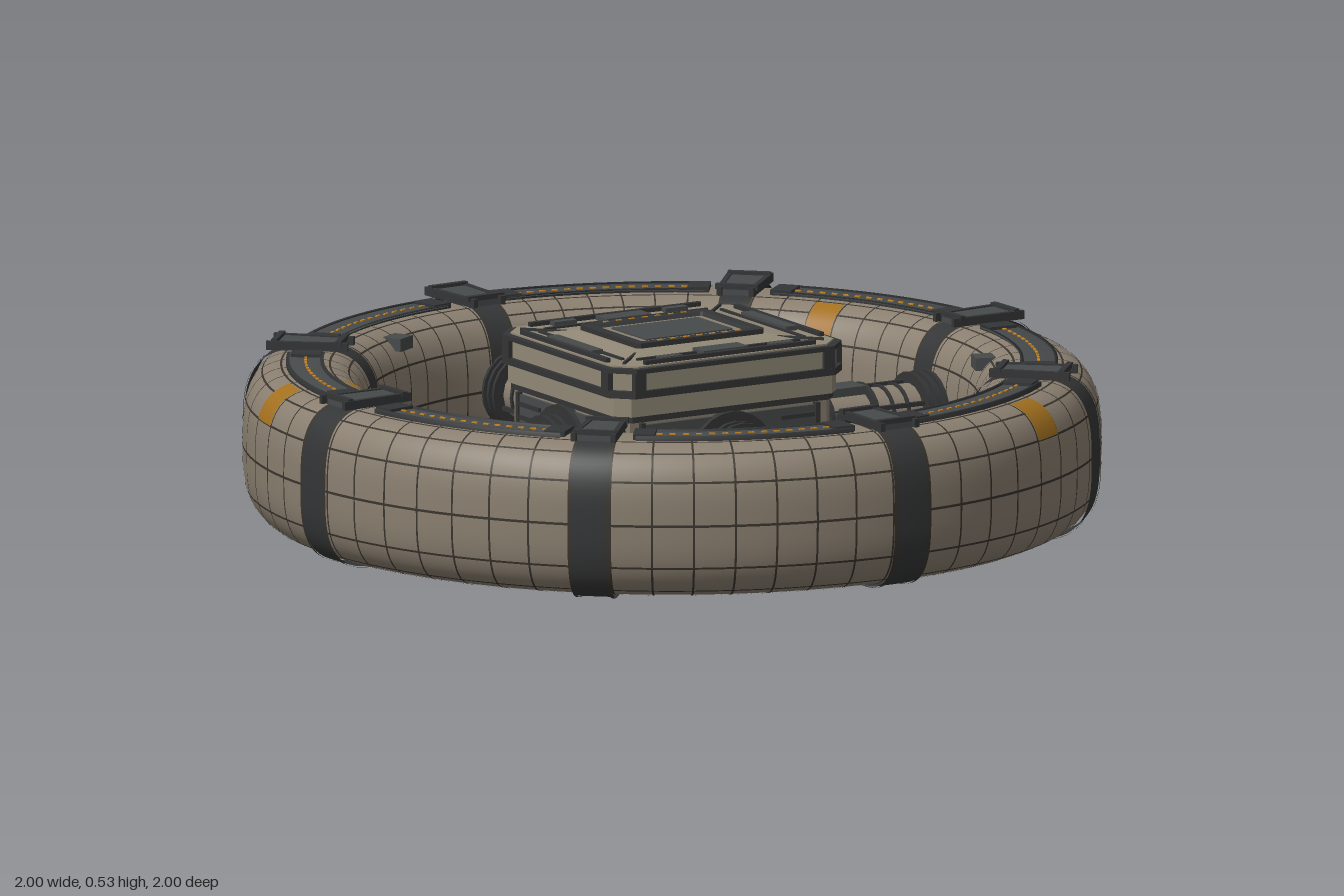
import * as THREE from 'three';
import { mergeGeometries } from 'three/addons/utils/BufferGeometryUtils.js';

const mat = (name, color, side = THREE.FrontSide) => {
  const m = new THREE.MeshStandardMaterial({ color, side });
  m.name = name;
  return m;
};

const PANELS = 64, STEP = (Math.PI * 2) / PANELS, START = 0.045; // one panel per step
const RING_R = 0.845, RING_Y = 0.262;

// Point on the squarish tube section; t = 0 is outermost, PI/2 is the top
function sectionPoint(t, off = 0) {
  const p = (v) => Math.sign(v) * Math.pow(Math.abs(v), 2 / 3);
  return new THREE.Vector2(RING_R + (0.145 + off) * p(Math.cos(t)), RING_Y + (0.182 + off) * p(Math.sin(t)));
}

// Part of the ring's skin between two section angles and two ring angles
function skin(t0, t1, off, a0, a1, n = 24) {
  const pts = [];
  for (let i = 0; i <= n; i++) pts.push(sectionPoint(t0 + ((t1 - t0) * i) / n, off));
  const segs = Math.max(1, Math.round((a1 - a0) / (STEP / 2)));
  return new THREE.LatheGeometry(pts, segs, a0, a1 - a0);
}

// Flat-faced solid through chamfered rectangles [halfX, halfZ, chamfer, y]
function loft(sections) {
  const rings = sections.map(([x, z, c, y]) => [
    [-x + c, z], [x - c, z], [x, z - c], [x, -z + c], [x - c, -z], [-x + c, -z], [-x, -z + c], [-x, z - c],
  ].map(([px, pz]) => [px, y, pz]));
  const pos = [];
  const tri = (a, b, c) => pos.push(...a, ...b, ...c);
  const last = rings.length - 1;
  for (let i = 0; i < 8; i++) {
    const j = (i + 1) % 8;
    for (let k = 0; k < last; k++) {
      tri(rings[k][i], rings[k][j], rings[k + 1][j]);
      tri(rings[k][i], rings[k + 1][j], rings[k + 1][i]);
    }
    tri([0, sections[0][3], 0], rings[0][j], rings[0][i]);
    tri([0, sections[last][3], 0], rings[last][i], rings[last][j]);
  }
  const g = new THREE.BufferGeometry();
  g.setAttribute('position', new THREE.Float32BufferAttribute(pos, 3));
  g.computeVertexNormals();
  return g;
}

const box = (w, h, d, x, y, z) => new THREE.BoxGeometry(w, h, d).translate(x, y, z);
// Box on the ring: w runs along the ring, d runs outward
const ringBox = (w, h, d, r, y, a) => box(w, h, d, 0, y, r).rotateY(a);
const drum = (r, len, z, sides = 20) => new THREE.CylinderGeometry(r, r, len, sides).rotateX(Math.PI / 2).translate(0, 0, z);

export function createModel() {
  const hull = mat('warm grey hull', 0x8a7f70);
  const trim = mat('pale trim', 0x918876);
  const dark = mat('charcoal', 0x343536, THREE.DoubleSide);
  const grey = mat('slate panel', 0x474a4b);
  const seam = mat('seam brown', 0x39342d, THREE.DoubleSide);
  const amber = mat('amber paint', 0xa3701f, THREE.DoubleSide);
  const lamp = mat('lamp orange', 0xc88420);

  const model = new THREE.Group();
  const add = (name, geo, material, parent = model) => {
    const m = new THREE.Mesh(Array.isArray(geo) ? mergeGeometries(geo) : geo, material);
    m.name = name;
    parent.add(m);
    return m;
  };
  const PI = Math.PI, TAU = PI * 2;

  // Habitat ring and its panel seams
  const ring = new THREE.Group();
  ring.name = 'habitatRing';
  model.add(ring);
  add('ringHull', skin(-PI, PI, 0, START, START + TAU, 72), hull, ring);
  const seams = [];
  for (let i = 0; i < PANELS; i++) {
    const a = START + (i + 0.5) * STEP;
    seams.push(skin(-PI, PI, 0.0015, a - 0.0025, a + 0.0025, 48));
  }
  for (const t of [0, 0.42, 0.97, 1.33, PI - 1.33, PI - 0.97, PI - 0.42]) {
    for (const s of t === 0 ? [0, PI] : [t, -t]) {
      const c = sectionPoint(s), e = sectionPoint(s + 0.01);
      const w = s === 0 || s === PI ? 0.002 : Math.min(0.02, 0.000025 / Math.max(0.001, c.distanceTo(e)));
      seams.push(skin(s - w, s + w, 0.0015, START, START + TAU, 1));
    }
  }
  add('panelSeams', seams, seam, ring);

  // Eight clamp bands with saddles on top
  const bands = [], ribs = [], saddles = [], rails = [];
  for (let k = 0; k < 8; k++) {
    const a = START + (k * PI) / 4, h = STEP / 2;
    bands.push(skin(-PI, PI, 0.007, a - h, a + h, 64));
    for (const s of [-1, 1]) {
      const e = a + s * h * 0.93;
      ribs.push(skin(-PI, PI, 0.01, e - 0.004, e + 0.004, 64));
      rails.push(ringBox(0.012, 0.02, 0.19, 0.85, 0.458, a + s * 0.05));
      rails.push(ringBox(0.1, 0.012, 0.014, 0.85 + s * 0.075, 0.467, a));
    }
    saddles.push(ringBox(0.085, 0.018, 0.16, 0.85, 0.456, a));
  }
  add('clampBands', bands, dark, ring);
  add('bandRibs', ribs, seam, ring);
  add('saddles', saddles, grey, ring);
  add('saddleRails', rails, dark, ring);

  // Service strip on top of the ring, with lamps, rails and hatches
  const strips = [], stripRails = [], lamps = [], hatches = [];
  const annulus = (r0, r1, y, a0, a1) => new THREE.LatheGeometry(
    [[r0, 0.43], [r1, 0.43], [r1, y], [r0, y]].map((p) => new THREE.Vector2(...p)), 14, a0, a1 - a0);
  for (let k = 0; k < 8; k++) {
    const a0 = START + (k * PI) / 4 + 0.1, a1 = a0 + PI / 4 - 0.2;
    strips.push(annulus(0.805, 0.885, 0.449, a0, a1));
    for (const r of [0.803, 0.882]) stripRails.push(annulus(r, r + 0.008, 0.453, a0, a1));
    for (let i = 0; i < 14; i++) lamps.push(ringBox(0.014, 0.004, 0.006, 0.845, 0.45, a0 + 0.06 + i * 0.036));
    for (const a of [a0 + 0.02, a1 - 0.02]) hatches.push(ringBox(0.05, 0.014, 0.07, 0.845, 0.449, a));
  }
  add('serviceStrips', strips, grey, ring);
  add('stripRails', stripRails, dark, ring);
  add('stripLamps', lamps, lamp, ring);
  add('stripHatches', hatches, dark, ring);
  add('innerVents', [1.23, -0.34, -2.65].map((a) => ringBox(0.055, 0.03, 0.05, 0.735, 0.415, a)), grey, ring);

  // Painted panels on both shoulders of the ring
  const paint = [];
  for (const n of [5, 21, 45]) {
    const a = START + n * STEP, h = STEP * 0.48;
    paint.push(skin(0.42, 1.28, 0.003, a - h, a + h), skin(PI - 1.28, PI - 0.42, 0.003, a - h, a + h));
  }
  add('paintedPanels', paint, amber, ring);

  // Four spokes with flanges and a central collar
  for (let k = 0; k < 4; k++) {
    const spoke = new THREE.Group();
    spoke.name = 'spoke' + (k + 1);
    spoke.position.y = RING_Y;
    spoke.rotation.y = (k * PI) / 2;
    model.add(spoke);
    const face = k % 2 ? 0.285 : 0.25;
    add('spokeTube', drum(0.066, 0.52, 0.46, 16), hull, spoke);
    add('spokeFlanges', [
      ...[0.645, 0.668, 0.69].map((z) => drum(0.092, 0.009, z)), drum(0.08, 0.06, 0.67),
      ...[0.035, 0.06].map((z) => drum(0.095, 0.01, face + z)), drum(0.08, 0.08, face + 0.03),
      drum(0.115, 0.02, face + 0.01, 24), drum(0.071, 0.008, 0.56), drum(0.071, 0.008, 0.6),
    ], dark, spoke);
    const collar = [], pipes = [];
    for (let i = 0; i < 4; i++) {
      collar.push(box(0.065, 0.02, 0.11, 0, 0.07, 0.45).rotateZ((i * PI) / 2));
      pipes.push(box(0.01, 0.01, 0.32, 0.03, 0.064, 0.49).rotateZ((i * PI) / 2));
    }
    add('spokeCollar', collar, grey, spoke);
    add('spokePipes', [...pipes, drum(0.082, 0.012, 0.39), drum(0.082, 0.012, 0.51)], dark, spoke);
  }

  // Hub body, base and roof tiers
  const hub = new THREE.Group();
  hub.name = 'hub';
  model.add(hub);
  const slab = (x, z, c, y0, y1) => loft([[x, z, c, y0], [x, z, c, y1]]);
  add('hubBody', slab(0.285, 0.25, 0.02, 0.08, 0.44), hull, hub);
  add('hubBase', slab(0.305, 0.273, 0.035, 0.018, 0.074), trim, hub);
  add('hubLips', [
    slab(0.315, 0.282, 0.045, 0.07, 0.088), slab(0.295, 0.26, 0.03, 0.375, 0.39),
    slab(0.315, 0.282, 0.045, 0.436, 0.453), slab(0.316, 0.283, 0.05, 0.494, 0.505),
  ], dark, hub);
  add('hubBelts', [slab(0.3, 0.265, 0.03, 0.39, 0.437), slab(0.3, 0.265, 0.03, 0.088, 0.13)], trim, hub);
  add('hubCrown', slab(0.306, 0.273, 0.045, 0.45, 0.496), trim, hub);
  add('hubRoof', loft([[0.3, 0.268, 0.045, 0.5], [0.3, 0.268, 0.045, 0.509], [0.24, 0.2, 0.03, 0.509], [0.18, 0.14, 0.01, 0.518]]), trim, hub);
  add('roofFrame', loft([
    [0.172, 0.132, 0.008, 0.51], [0.172, 0.132, 0.008, 0.53], [0.148, 0.11, 0.005, 0.53], [0.14, 0.1, 0.005, 0.52],
  ]), dark, hub);
  add('roofBorder', slab(0.138, 0.098, 0.003, 0.515, 0.523), hull, hub);
  add('roofHatch', slab(0.118, 0.078, 0.003, 0.515, 0.526), grey, hub);

  // Roof seams, edge rails and small equipment
  const roof = [], roofBoxes = [], roofLamps = [];
  for (const s of [-1, 1]) {
    roof.push(box(0.44, 0.006, 0.008, 0, 0.511, s * 0.205), box(0.008, 0.006, 0.37, s * 0.245, 0.511, 0));
    roof.push(box(0.46, 0.014, 0.012, 0, 0.512, s * 0.255), box(0.012, 0.014, 0.38, s * 0.288, 0.512, 0));
    roofBoxes.push(box(0.12, 0.016, 0.05, 0, 0.512, s * 0.215), box(0.03, 0.016, 0.2, s * 0.262, 0.512, 0));
    for (const q of [-1, 1]) {
      const len = Math.hypot(0.1, 0.1);
      roof.push(box(0.006, 0.006, len, 0, 0, 0).rotateY((s * q * PI) / 4).translate(s * 0.22, 0.512, q * 0.18));
      roofBoxes.push(box(0.06, 0.014, 0.02, s * 0.15, 0.512, q * 0.235));
    }
    for (let i = -3; i <= 3; i++) roofLamps.push(box(0.014, 0.004, 0.005, i * 0.035, 0.53, s * 0.121));
  }
  add('roofRails', roof, dark, hub);
  add('roofEquipment', roofBoxes, grey, hub);
  add('roofLamps', roofLamps, lamp, hub);

  // Side walls: recessed-looking panels, louvres and corner brackets
  const panels = [], louvres = [], brackets = [];
  for (let k = 0; k < 4; k++) {
    const face = k % 2 ? 0.285 : 0.25, half = k % 2 ? 0.25 : 0.285, a = (k * PI) / 2;
    panels.push(box(half * 2 - 0.1, 0.23, 0.012, 0, 0.252, face + 0.002).rotateY(a));
    for (const s of [-1, 1]) {
      for (let i = 0; i < 7; i++) louvres.push(box(0.09, 0.01, 0.012, s * (half - 0.105), 0.16 + i * 0.031, face + 0.008).rotateY(a));
      louvres.push(box(0.012, 0.24, 0.016, s * (half - 0.05), 0.252, face + 0.004).rotateY(a));
      for (const y of [0.047, 0.474]) brackets.push(box(0.03, 0.045, 0.014, s * (half - 0.03), y, face + 0.024).rotateY(a));
    }
  }
  add('wallPanels', panels, grey, hub);
  add('wallLouvres', louvres, dark, hub);
  add('cornerBrackets', brackets, dark, hub);

  // Underside: seams, centre plate and two vents
  const under = [], vents = [];
  for (const s of [-1, 1]) {
    under.push(box(0.1, 0.004, 0.005, 0, 0.017, s * 0.035), box(0.005, 0.004, 0.07, s * 0.05, 0.017, 0));
    for (const q of [-1, 1]) {
      const dx = 0.235, dz = 0.22;
      under.push(box(0.005, 0.004, Math.hypot(dx, dz), 0, 0, 0).rotateY(s * q * Math.atan2(dx, dz))
        .translate(s * (0.05 + dx / 2), 0.017, q * (0.035 + dz / 2)));
      vents.push(box(0.07, 0.008, 0.045, s * 0.19, 0.006, q * 0.03));
    }
    under.push(box(0.085, 0.012, 0.125, s * 0.19, 0.014, 0));
  }
  add('undersideSeams', under, seam, hub);
  add('undersideVents', vents, dark, hub);
  return model;
}
